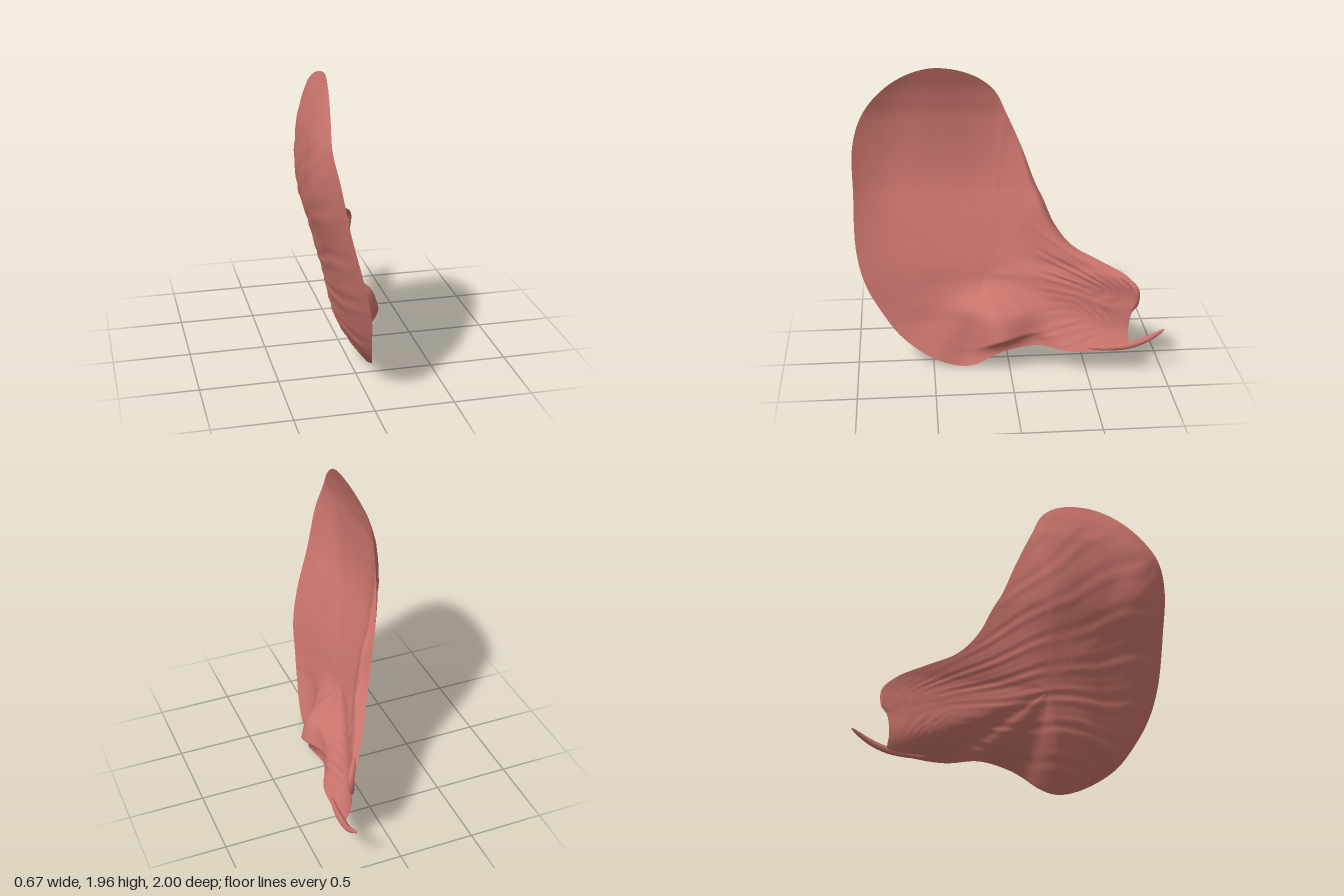
import * as THREE from 'three';

const flesh = new THREE.MeshStandardMaterial({ color: 0xc8736b });
flesh.name = 'muscle red';

const V = (x, y, z) => new THREE.Vector3(x, y, z);
const smooth = THREE.MathUtils.smoothstep;
const lerp = THREE.MathUtils.lerp;
const curve = (pts, closed = false) =>
  new THREE.CatmullRomCurve3(pts.map(p => V(...p)), closed, 'centripetal');

// Rim of the sheet: top, down the back edge, round the tail, along the bottom, up the front
const rim = curve([
  [-0.185, 1.97, 0.45], [-0.20, 1.92, 0.22], [-0.22, 1.81, 0.07], [-0.22, 1.65, -0.01],
  [-0.195, 1.42, -0.11], [-0.155, 1.20, -0.19], [-0.12, 1.10, -0.24], [-0.07, 0.94, -0.31],
  [0, 0.81, -0.42], [0.10, 0.73, -0.60], [0.20, 0.66, -0.76], [0.25, 0.58, -0.83],
  [0.26, 0.48, -0.83], [0.25, 0.42, -0.79], [0.25, 0.30, -0.77], [0.29, 0.20, -0.76],
  [0.295, 0.175, -0.58], [0.28, 0.17, -0.38], [0.20, 0.185, -0.19], [0.21, 0.16, 0.02],
  [0.20, 0.12, 0.11], [0.15, 0.04, 0.21], [0.11, 0.005, 0.31], [0.105, 0.06, 0.49],
  [0.055, 0.20, 0.70], [0.02, 0.37, 0.83], [-0.01, 0.58, 0.94], [-0.06, 0.80, 0.99],
  [-0.15, 1.15, 0.995], [-0.21, 1.45, 0.99], [-0.245, 1.64, 0.93], [-0.23, 1.80, 0.81],
  [-0.205, 1.92, 0.64],
], true);

// Sideways lean of the whole sheet by height
const LEAN = [[0, 0.11], [0.3, 0.03], [0.5, 0], [0.65, -0.03], [0.85, -0.08],
  [1.15, -0.15], [1.45, -0.195], [1.65, -0.22], [1.82, -0.215], [2, -0.19]];
function lean(y) {
  let i = 1;
  while (i < LEAN.length - 1 && y > LEAN[i][0]) i++;
  const [y0, x0] = LEAN[i - 1], [y1, x1] = LEAN[i];
  return x0 + (x1 - x0) * (y - y0) / (y1 - y0);
}

// Fibre grooves fanning out from the tail
function fibres(y, z) {
  const a = Math.atan2(y - 0.4, z + 1.0);
  const w = Math.sin(9 * z + 5 * y) * 0.6;
  return 0.6 * Math.sin(a * 80 + w) + 0.4 * Math.sin(a * 121 + 2 * w + 1);
}

// Knuckle on the inner face: steep shelf above, long slopes below, in front and behind
function knuckle(y, z) {
  const dy = (y - 0.37) / (y > 0.37 ? 0.11 : 0.24);
  const dz = (z - 0.08) / (z > 0.08 ? 0.25 : 0.24);
  return 0.165 * Math.exp(-Math.pow(dy * dy + dz * dz, 1.1));
}

const SEG = 240, RINGS = 44, CY = 0.6, CZ = 0.15;

// One face of the sheet, made of rings growing from a hub to the rim
function face(outer) {
  const edge = rim.getSpacedPoints(SEG).slice(0, SEG);
  const pos = [], index = [];
  for (let k = 0; k <= RINGS; k++) {
    const s = k / RINGS;
    for (const p of edge) {
      const y = CY + (p.y - CY) * s, z = CZ + (p.z - CZ) * s;
      const high = smooth(y, 0.6, 1.2);
      const fade = 1 - Math.pow(s, 2.5 + 1.5 * smooth(z, 0.5, 0.8));
      const body = 0.35 + 0.65 * smooth(z, lerp(-0.45, -0.35, high), lerp(0.5, 0.28, high));
      const bulge = (0.15 + 0.045 * smooth(y, 0.9, 1.4)) * fade * body;
      const nearRim = Math.min(1, 6 * (1 - s));
      let x = lean(y) + (p.x - lean(p.y)) * Math.pow(s, 1.5 - 0.2 * smooth(-p.z, 0, 0.5));
      if (outer) {
        x -= bulge + 0.0035 * fibres(y, z) * nearRim;
      } else {
        x -= bulge * (0.25 + 0.35 * smooth(y, 0.6, 1.3));
        x += knuckle(y, z) * Math.min(1, 5 * (1 - s));
        x += 0.008 * fibres(y, z) * (1 - smooth(z, -0.45, -0.1)) * nearRim;
        // Thick rolled lip along the back edge
        const lip = smooth(-p.z, 0.02, 0.25) * smooth(p.y, 0.5, 0.7) * (1 - 0.4 * smooth(-p.z, 0.4, 0.7));
        x += 0.065 * lip * smooth(s, 0.45, 0.92) * Math.sqrt(Math.min(1, 14 * (1 - s)));
      }
      pos.push(x, y, z);
    }
  }
  for (let k = 0; k < RINGS; k++) {
    for (let i = 0; i < SEG; i++) {
      const j = (i + 1) % SEG;
      const a = k * SEG + i, b = a + SEG, c = (k + 1) * SEG + j, d = k * SEG + j;
      if (outer) index.push(a, b, c, a, c, d);
      else index.push(a, c, b, a, d, c);
    }
  }
  const g = new THREE.BufferGeometry();
  g.setAttribute('position', new THREE.Float32BufferAttribute(pos, 3));
  g.setIndex(index);
  g.computeVertexNormals();
  return g;
}

// Tube that tapers to a point at both ends
function strand(pts, radius) {
  const path = curve(pts), n = 40, r = 10;
  const g = new THREE.TubeGeometry(path, n, radius, r);
  const pos = g.attributes.position, v = V(0, 0, 0);
  for (let i = 0; i < pos.count; i++) {
    const t = Math.floor(i / (r + 1)) / n;
    const c = path.getPointAt(t);
    v.fromBufferAttribute(pos, i).sub(c)
      .multiplyScalar(Math.pow(Math.max(0.0001, Math.sin(Math.PI * t)), 0.45)).add(c);
    pos.setXYZ(i, v.x, v.y, v.z);
  }
  g.computeVertexNormals();
  return g;
}

export function createModel() {
  const group = new THREE.Group();
  group.name = 'fanMuscle';
  const add = (name, geometry) => {
    const mesh = new THREE.Mesh(geometry, flesh);
    mesh.name = name;
    group.add(mesh);
  };
  add('outerFace', face(true));
  add('innerFace', face(false));
  // Rolled upper end of the tail
  add('tailRoll', strand([[0.18, 0.67, -0.68], [0.23, 0.64, -0.76], [0.265, 0.585, -0.81],
    [0.26, 0.49, -0.81], [0.245, 0.43, -0.77]], 0.02));
  // Hooked lower tip of the tail
  add('tailTip', strand([[0.275, 0.19, -0.50], [0.295, 0.195, -0.65], [0.305, 0.215, -0.78],
    [0.315, 0.26, -0.89], [0.305, 0.32, -1.0]], 0.022));
  return group;
}
